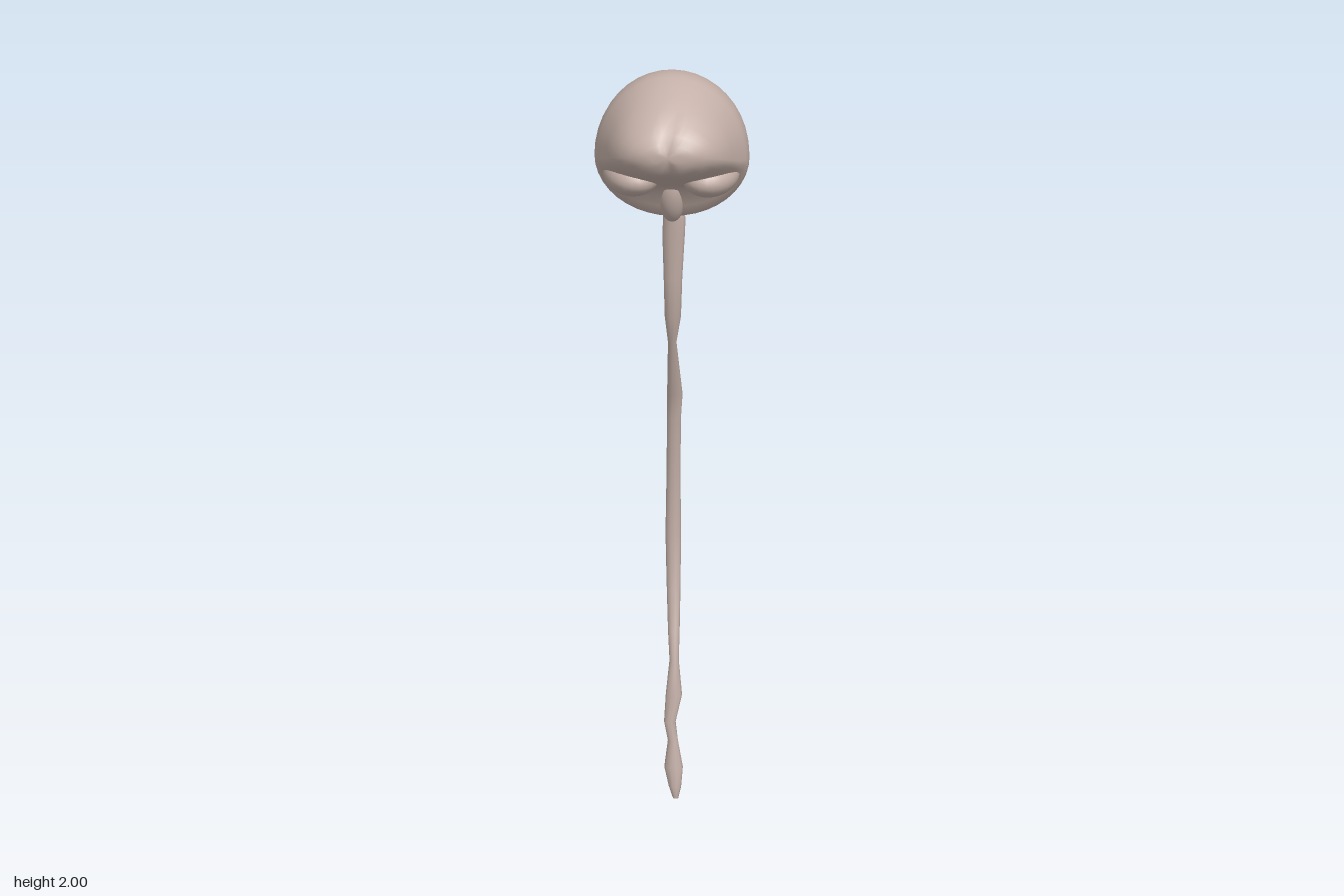
import * as THREE from 'three';

const material = new THREE.MeshStandardMaterial({ color: 0xc4b0a8, roughness: 0.8 });

// Skins a list of closed rings with smooth normals and closes both ends.
function loft(rings) {
  const n = rings[0].length, pos = [], idx = [];
  rings.forEach(r => r.forEach(p => pos.push(...p)));
  for (let i = 0; i < rings.length - 1; i++) {
    for (let j = 0; j < n; j++) {
      const a = i * n + j, b = i * n + (j + 1) % n;
      idx.push(a, b, b + n, a, b + n, a + n);
    }
  }
  [rings[0], rings[rings.length - 1]].forEach((ring, end) => {
    const c = pos.length / 3, base = end ? (rings.length - 1) * n : 0;
    pos.push(...[0, 1, 2].map(k => ring.reduce((s, p) => s + p[k], 0) / n));
    for (let j = 0; j < n; j++) {
      const a = base + j, b = base + (j + 1) % n;
      if (end) idx.push(a, b, c); else idx.push(b, a, c);
    }
  });
  const g = new THREE.BufferGeometry();
  g.setAttribute('position', new THREE.Float32BufferAttribute(pos, 3));
  g.setIndex(idx);
  g.computeVertexNormals();
  return g;
}

function part(name, geometry) {
  const m = new THREE.Mesh(geometry, material);
  m.name = name;
  return m;
}

// Brain sections from back to front: z, top, bottom, half width, height of widest point
const brainSections = [
  [-0.237, 1.83, 1.765, 0.055, 1.795],
  [-0.222, 1.86, 1.73, 0.09, 1.79],
  [-0.19, 1.905, 1.68, 0.128, 1.785],
  [-0.15, 1.945, 1.635, 0.158, 1.78],
  [-0.1, 1.973, 1.61, 0.182, 1.775],
  [-0.05, 1.991, 1.598, 0.197, 1.77],
  [-0.015, 1.998, 1.605, 0.2, 1.77],
  [0.01, 1.999, 1.64, 0.198, 1.77],
  [0.03, 1.996, 1.69, 0.193, 1.775],
  [0.07, 1.985, 1.715, 0.178, 1.785],
  [0.11, 1.968, 1.735, 0.164, 1.8],
  [0.15, 1.95, 1.755, 0.15, 1.815],
  [0.19, 1.925, 1.773, 0.127, 1.83],
  [0.217, 1.9, 1.79, 0.1, 1.84],
  [0.231, 1.878, 1.808, 0.07, 1.845],
  [0.237, 1.862, 1.825, 0.04, 1.845],
];

function brain() {
  const sides = 40;
  return loft(brainSections.map(([z, top, bottom, w, mid]) =>
    Array.from({ length: sides }, (_, j) => {
      const a = j / sides * Math.PI * 2, s = Math.sin(a);
      const x = w * Math.cos(a);
      const y = mid + s * (s > 0 ? top - mid : mid - bottom);
      // Shallow cleft between the hemispheres at the front
      const cleft = z > 0.18 ? 0.01 * Math.exp(-((x / 0.015) ** 2)) : 0;
      return [x, y, z - cleft];
    })));
}

// Cord stations from tip to neck: y, x, z, radius in x, radius in z
const cordStations = [
  [0, 0.006, -0.085, 0.007, 0.007], [0.03, 0.004, -0.091, 0.016, 0.013],
  [0.08, 0, -0.1, 0.024, 0.018], [0.15, -0.002, -0.105, 0.013, 0.011],
  [0.2, -0.01, -0.108, 0.015, 0.012], [0.27, 0, -0.118, 0.021, 0.012],
  [0.36, 0, -0.13, 0.012, 0.015], [0.43, -0.002, -0.155, 0.015, 0.013],
  [0.55, -0.004, -0.185, 0.018, 0.014], [0.68, -0.006, -0.206, 0.02, 0.016],
  [0.85, -0.005, -0.202, 0.018, 0.014], [1, -0.003, -0.183, 0.018, 0.012],
  [1.07, 0, -0.168, 0.02, 0.014], [1.23, -0.004, -0.11, 0.011, 0.014],
  [1.31, -0.001, -0.081, 0.021, 0.017], [1.42, 0, -0.068, 0.024, 0.016],
  [1.54, 0.002, -0.06, 0.029, 0.018], [1.585, 0.004, -0.058, 0.029, 0.021],
  [1.62, 0, -0.056, 0.026, 0.02],
];

function cord() {
  const sides = 10;
  return loft(cordStations.map(([y, x, z, rx, rz]) =>
    Array.from({ length: sides }, (_, j) => {
      const a = -j / sides * Math.PI * 2;
      return [x + rx * Math.cos(a), y, z + rz * Math.sin(a)];
    })));
}

export function createModel() {
  const model = new THREE.Group();
  model.name = 'brainAndSpinalCord';
  model.add(part('brain', brain()), part('spinalCord', cord()));

  // Temporal lobes under the frontal lobes
  for (const side of [1, -1]) {
    const lobe = part(side > 0 ? 'leftTemporalLobe' : 'rightTemporalLobe',
      new THREE.SphereGeometry(1, 24, 16));
    lobe.scale.set(0.072, 0.052, 0.1);
    lobe.position.set(side * 0.102, 1.735, 0.035);
    lobe.rotation.y = -side * 0.25;
    model.add(lobe);
  }

  // Brain stem leaning from the underside down to the cord
  const stem = part('brainStem', new THREE.SphereGeometry(1, 20, 14));
  stem.scale.set(0.035, 0.075, 0.035);
  stem.position.set(0, 1.66, -0.005);
  stem.rotation.x = 0.3;
  model.add(stem);
  return model;
}
